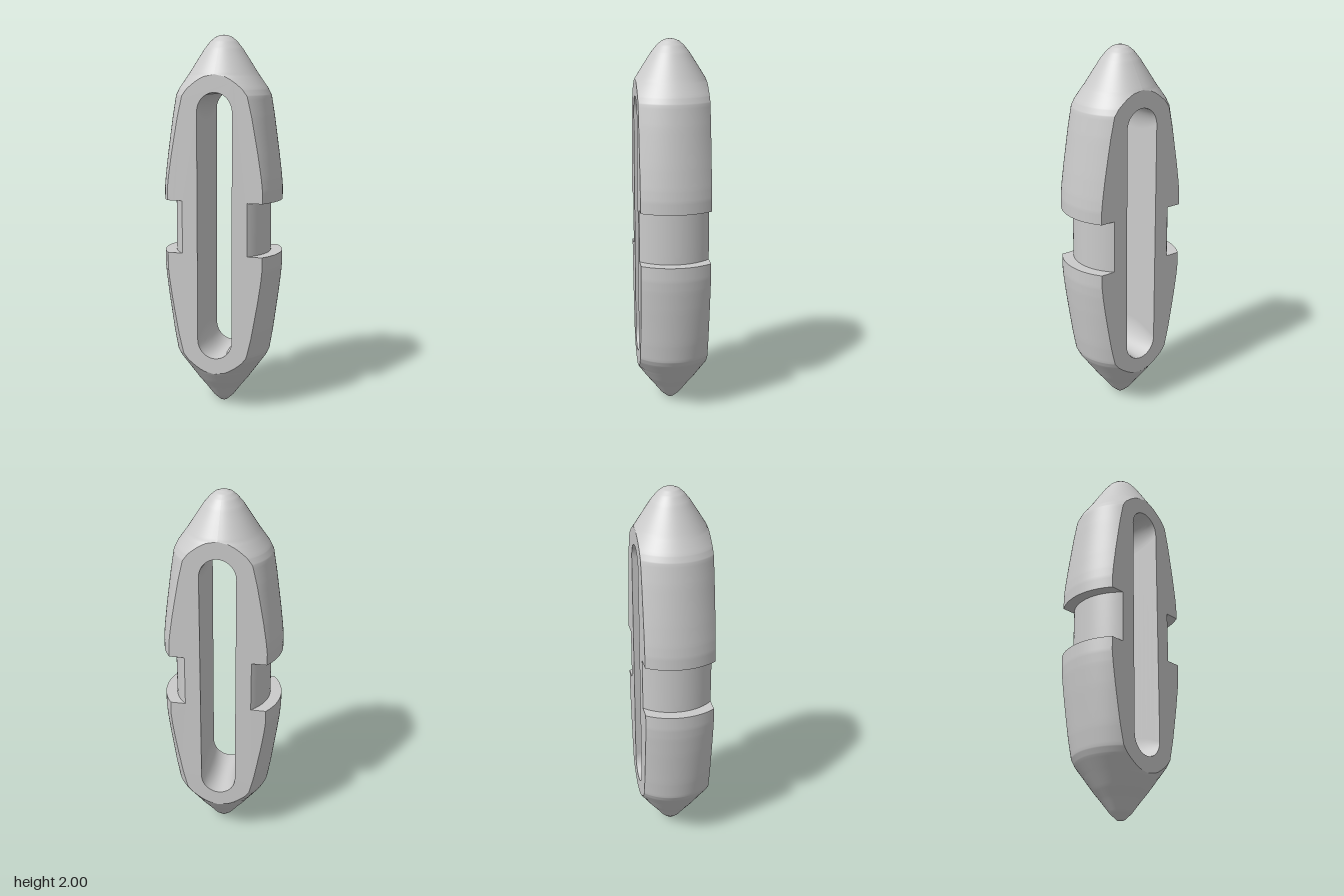
import * as THREE from 'three';

const D = 0.183;         // half depth, where the round body is cut flat
const SLOT = 0.094;      // half width of the slot
const SLOT_LOW = 0.297, SLOT_HIGH = 1.708;

// Half profiles [radius, height], split at the sharp edges
const lowerBody = [[0, 0.003], [0.02, 0.008], [0.055, 0.04], [0.1, 0.1], [0.14, 0.15], [0.183, 0.21],
  [0.235, 0.282], [0.252, 0.315], [0.27, 0.42], [0.297, 0.62], [0.31, 0.73], [0.315, 0.79], [0.315, 0.865]];
const lowerShelf = [[0.315, 0.865], [0.254, 0.865]];
const groove = [[0.254, 0.865], [0.254, 1.145]];
const upperShelf = [[0.254, 1.145], [0.315, 1.145]];
const upperBody = [[0.315, 1.145], [0.315, 1.21], [0.31, 1.27], [0.297, 1.38], [0.27, 1.58], [0.252, 1.69],
  [0.235, 1.725], [0.183, 1.8], [0.14, 1.868], [0.1, 1.93], [0.07, 1.967], [0.045, 1.988], [0.02, 1.998], [0, 2]];

// Split each profile segment into even steps
function refine(points, steps = 6) {
  const out = [];
  for (let i = 0; i < points.length - 1; i++) {
    for (let k = 0; k < steps; k++) {
      const t = k / steps;
      out.push([0, 1].map((c) => points[i][c] * (1 - t) + points[i + 1][c] * t));
    }
  }
  out.push(points[points.length - 1]);
  return out;
}

// Smooth sheet through a grid of points; its front faces u x v
function sheet(nu, nv, point) {
  const position = [], index = [];
  for (let i = 0; i <= nu; i++) {
    for (let j = 0; j <= nv; j++) {
      position.push(...point(i, j));
      if (i < nu && j < nv) {
        const a = i * (nv + 1) + j, b = a + nv + 1;
        index.push(a, b, a + 1, b, b + 1, a + 1);
      }
    }
  }
  const geometry = new THREE.BufferGeometry();
  geometry.setAttribute('position', new THREE.Float32BufferAttribute(position, 3));
  geometry.setIndex(index);
  geometry.computeVertexNormals();
  return geometry;
}

// Round flank on +x: each ring is an arc that stops at the flat faces
function flank(profile) {
  const rings = refine(profile);
  const n = 32;
  return sheet(rings.length - 1, n, (i, j) => {
    const [r, y] = rings[i];
    const reach = r > D ? Math.asin(D / r) : Math.PI / 2;
    const angle = reach * (2 * j / n - 1);
    return [r * Math.cos(angle), y, r * Math.sin(angle)];
  });
}

// Slot outline, counter-clockwise, with round ends of the given height
function slotOutline(endHeight) {
  const points = [];
  for (const [start, y] of [[0, SLOT_HIGH - endHeight], [Math.PI, SLOT_LOW + endHeight]]) {
    for (let k = 0; k <= 24; k++) {
      const a = start + Math.PI * k / 24;
      points.push(new THREE.Vector2(SLOT * Math.cos(a), y + endHeight * Math.sin(a)));
    }
  }
  points.push(points[0].clone());
  return points;
}

export function createModel() {
  const group = new THREE.Group();
  const material = new THREE.MeshStandardMaterial({ color: 0xcccccc });
  const add = (name, geometry, turn = 0) => {
    const mesh = new THREE.Mesh(geometry, material);
    mesh.name = name;
    mesh.rotation.y = turn;
    group.add(mesh);
  };

  // Round flanks on both sides
  const sections = { lowerBody, lowerShelf, groove, upperShelf, upperBody };
  for (const [name, profile] of Object.entries(sections)) {
    const geometry = flank(profile);
    add(name + 'Left', geometry);
    add(name + 'Right', geometry, Math.PI);
  }

  // Flat front and back, following the cut through the round body
  const edge = refine(Object.values(sections).flat())
    .filter(([r]) => r >= D - 1e-6)
    .map(([r, y]) => new THREE.Vector2(Math.sqrt(Math.max(0, r * r - D * D)), y))
    .filter((p, i, all) => i === 0 || p.distanceTo(all[i - 1]) > 1e-6);
  const mirrored = edge.slice(1, -1).reverse().map((p) => new THREE.Vector2(-p.x, p.y));
  const face = new THREE.Shape([...edge, ...mirrored]);
  face.holes.push(new THREE.Path(slotOutline(0.1).slice(0, -1).reverse()));
  const faceGeometry = new THREE.ShapeGeometry(face).translate(0, 0, D);
  add('frontFace', faceGeometry);
  add('backFace', faceGeometry, Math.PI);

  // Slot wall, its ends a little more pointed at mid depth
  const layers = 12;
  const outlines = Array.from({ length: layers + 1 }, (_, j) =>
    slotOutline(0.1 + 0.05 * Math.sin(Math.PI * j / layers)));
  add('slotWall', sheet(outlines[0].length - 1, layers, (i, j) => {
    const p = outlines[j][i];
    return [p.x, p.y, D * (1 - 2 * j / layers)];
  }));

  return group;
}
